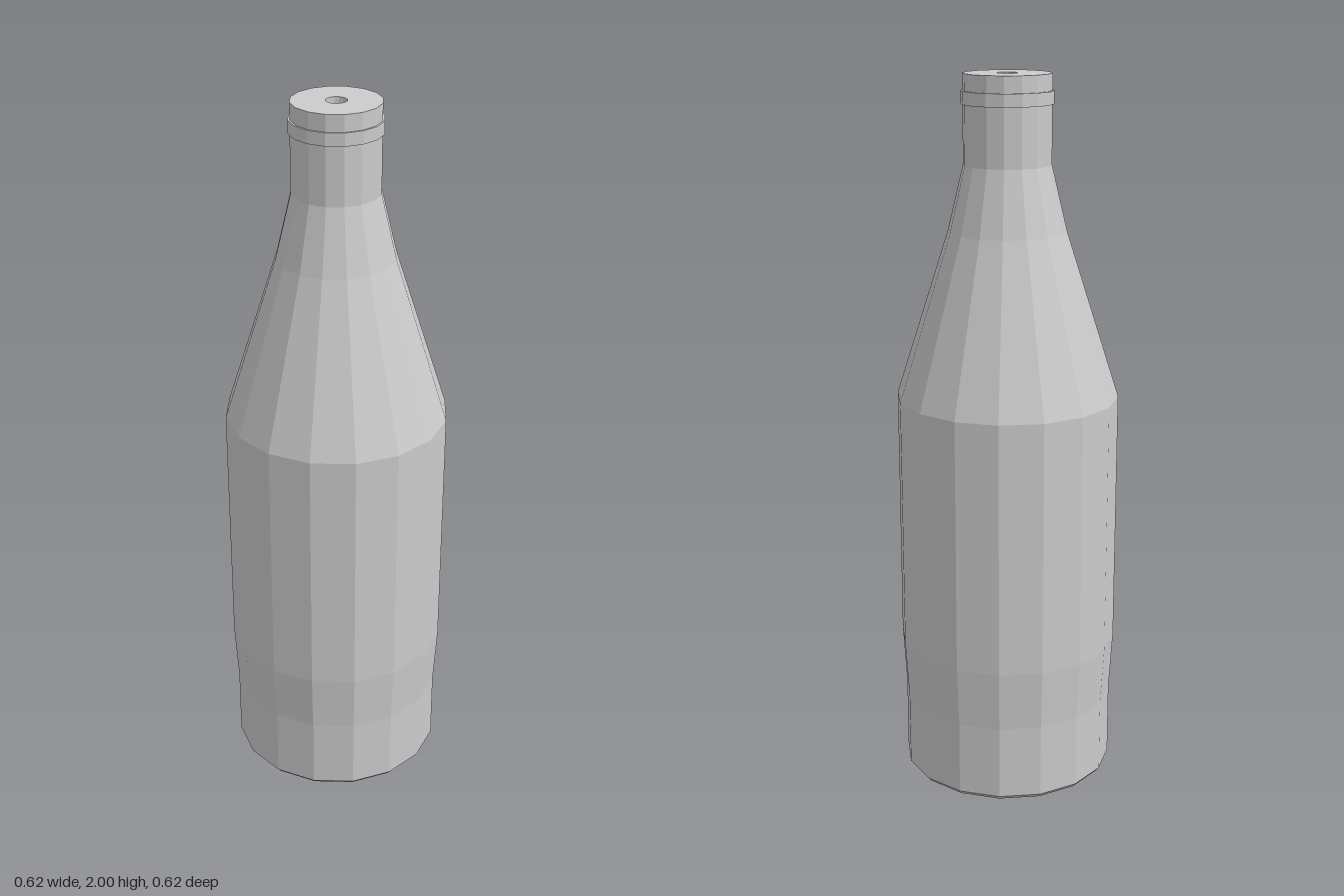
import * as THREE from 'three';

const SIDES = 16;

export function createModel() {
  const model = new THREE.Group();
  model.name = 'bottle';
  const material = new THREE.MeshStandardMaterial({ color: 0xcccccc, flatShading: true });

  // Revolves a [radius, height] profile; rising points face outwards
  const addLathe = (name, profile) => {
    const points = profile.map(([r, y]) => new THREE.Vector2(r, y));
    const mesh = new THREE.Mesh(new THREE.LatheGeometry(points, SIDES), material);
    mesh.name = name;
    model.add(mesh);
  };

  // Hollow body: one closed loop through base, outside, mouth and inside
  addLathe('bottleBody', [
    [0.077, 0.04], [0.13, 0.04], [0.135, 0],         // recess under the base
    [0.29, 0.008], [0.3, 0.02],                      // bevelled foot
    [0.3, 0.23], [0.31, 0.4], [0.31, 1.12],          // lower body
    [0.163, 1.58], [0.12, 1.76], [0.12, 2],          // shoulder and neck
    [0.028, 2], [0.028, 1.95],                       // mouth opening
    [0.09, 1.9], [0.09, 1.76], [0.135, 1.57],        // inner wall
    [0.28, 1.11], [0.28, 0.4], [0.27, 0.07], [0.077, 0.07],
    [0.077, 0.04],
  ]);

  // Thin raised band around the neck
  addLathe('neckBand', [
    [0.115, 1.92], [0.125, 1.92], [0.125, 1.955], [0.115, 1.955],
  ]);

  return model;
}
